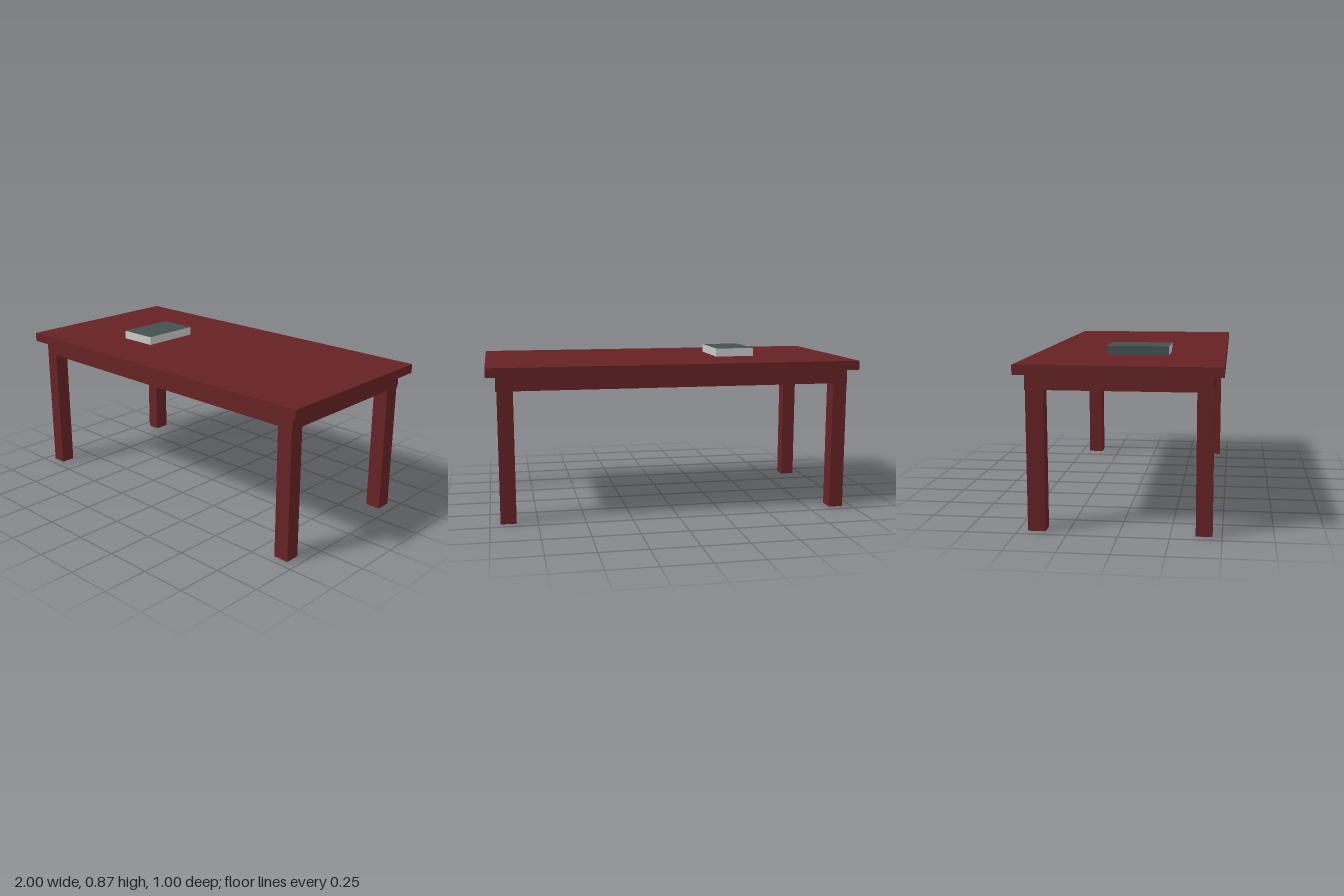
import * as THREE from 'three';

const wood = new THREE.MeshStandardMaterial({ color: 0x652224 });
wood.name = 'redWood';
const cover = new THREE.MeshStandardMaterial({ color: 0x425050 });
cover.name = 'slateCover';
const paper = new THREE.MeshStandardMaterial({ color: 0xc8c8c8 });
paper.name = 'paleGreyPages';

// Box given by its minimum and maximum on each axis
function block(name, [x0, x1], [y0, y1], [z0, z1], material) {
  const mesh = new THREE.Mesh(new THREE.BoxGeometry(x1 - x0, y1 - y0, z1 - z0), material);
  mesh.position.set((x0 + x1) / 2, (y0 + y1) / 2, (z0 + z1) / 2);
  mesh.name = name;
  return mesh;
}

export function createModel() {
  const model = new THREE.Group();
  model.name = 'tableWithBook';

  // Table top
  model.add(block('tableTop', [-1, 1], [0.777, 0.826], [-0.5, 0.5], wood));

  // Apron: an open rectangular frame under the top
  const X = 0.95, Z = 0.453, t = 0.09;
  const frame = new THREE.Shape([
    new THREE.Vector2(-X, -Z), new THREE.Vector2(X, -Z),
    new THREE.Vector2(X, Z), new THREE.Vector2(-X, Z),
  ]);
  frame.holes.push(new THREE.Path([
    new THREE.Vector2(-X + t, -Z + t), new THREE.Vector2(-X + t, Z - t),
    new THREE.Vector2(X - t, Z - t), new THREE.Vector2(X - t, -Z + t),
  ]));
  const apronGeometry = new THREE.ExtrudeGeometry(frame, { depth: 0.077, bevelEnabled: false });
  apronGeometry.rotateX(-Math.PI / 2);
  const apron = new THREE.Mesh(apronGeometry, wood);
  apron.position.y = 0.7;
  apron.name = 'apron';
  model.add(apron);

  // Four square legs
  const legX = { Right: [-0.95, -0.872], Left: [0.862, 0.945] };
  const legZ = { front: [0.373, 0.453], back: [-0.45, -0.362] };
  for (const [end, z] of Object.entries(legZ)) {
    for (const [side, x] of Object.entries(legX)) {
      model.add(block(`${end}${side}Leg`, x, [0, 0.7], z, wood));
    }
  }

  // Book: covers above and below, spine on -x, pages on the other sides
  model.add(block('book', [-0.512, -0.294], [0.826, 0.872], [-0.119, 0.206],
    [paper, cover, cover, cover, paper, paper]));

  return model;
}
